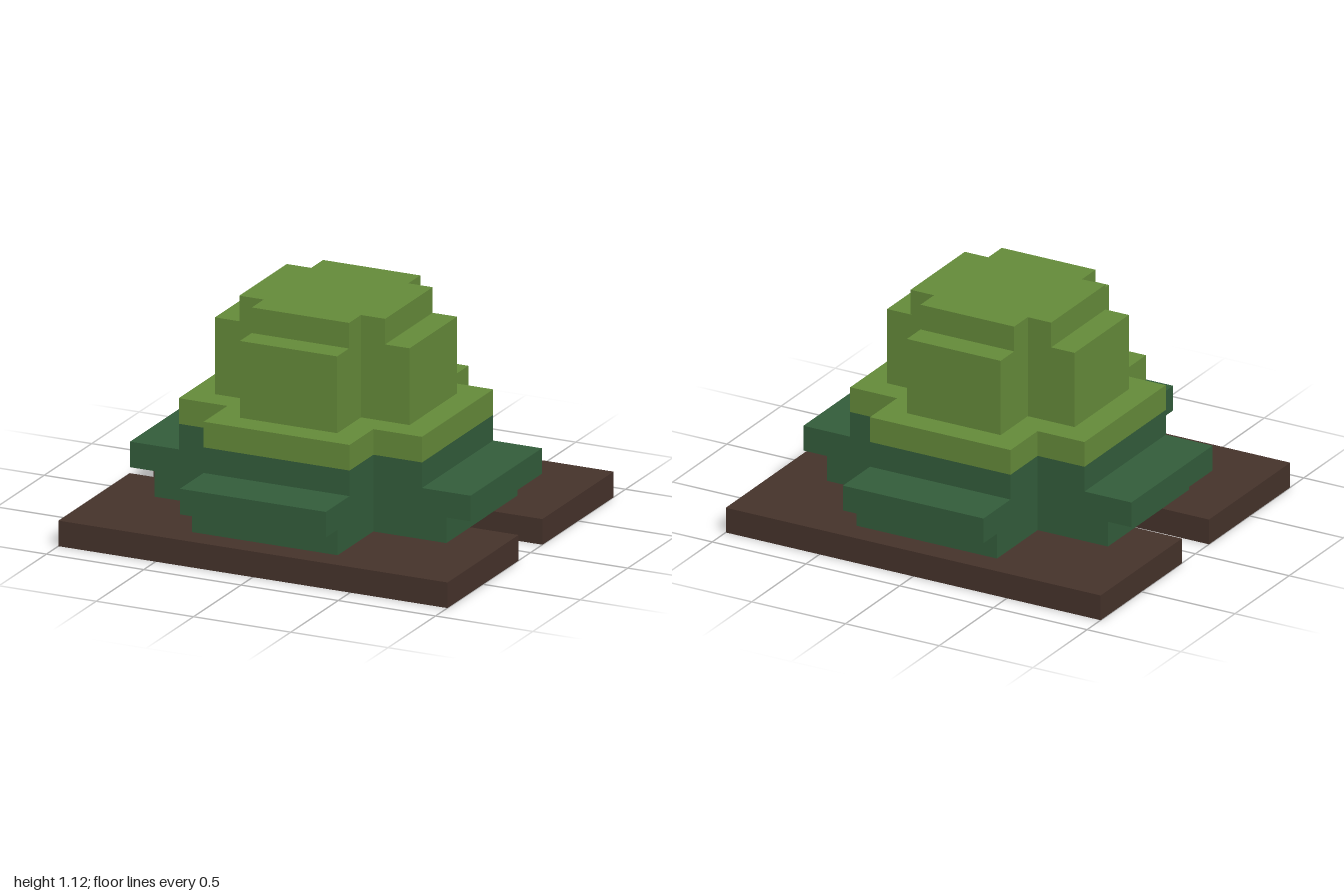
import * as THREE from 'three';

const material = (name, color) => {
  const m = new THREE.MeshStandardMaterial({ color });
  m.name = name;
  return m;
};

// Outline of a plus sign: arms reach `r` from the centre and are 2 * `w` wide
const plus = (r, w) => [
  [r, -w], [r, w], [w, w], [w, r], [-w, r], [-w, w],
  [-r, w], [-r, -w], [-w, -w], [-w, -r], [w, -r], [w, -w],
];

// Flat slab with the given outline, standing between two heights
function slab(name, outline, y0, y1, mat) {
  const shape = new THREE.Shape(outline.map(([x, z]) => new THREE.Vector2(x, z)));
  const geometry = new THREE.ExtrudeGeometry(shape, { depth: y1 - y0, bevelEnabled: false });
  geometry.rotateX(-Math.PI / 2);
  geometry.translate(0, y0, 0);
  const mesh = new THREE.Mesh(geometry, mat);
  mesh.name = name;
  return mesh;
}

export function createModel() {
  const soil = material('soil brown', 0x46332b);
  const dark = material('dark green', 0x335d3b);
  const light = material('light green', 0x658b3a);

  const group = new THREE.Group();
  group.name = 'bush';

  // Soil base with a deep slot cut into each side
  const X = 1, Z = 0.875, slotX = 0.375, slotZ = 0.125;
  const base = [
    [X, -Z], [X, -slotZ], [slotX, -slotZ], [slotX, slotZ], [X, slotZ], [X, Z],
    [-X, Z], [-X, slotZ], [-slotX, slotZ], [-slotX, -slotZ], [-X, -slotZ], [-X, -Z],
  ];
  group.add(slab('soilBase', base, 0, 0.125, soil));

  // Stacked plus-shaped foliage tiers: name, reach, half width, bottom, top, colour
  const tiers = [
    ['lowerFoliage', 0.75, 0.375, 0.125, 0.25, dark],
    ['foliageSkirt', 0.875, 0.375, 0.25, 0.375, dark],
    ['middleFoliage', 0.625, 0.375, 0.375, 0.5, dark],
    ['middleFoliageTop', 0.625, 0.375, 0.5, 0.625, light],
    ['upperFoliage', 0.5, 0.25, 0.625, 1, light],
    ['crown', 0.375, 0.25, 1, 1.125, light],
  ];
  for (const [name, r, w, y0, y1, mat] of tiers) {
    group.add(slab(name, plus(r, w), y0, y1, mat));
  }
  return group;
}
